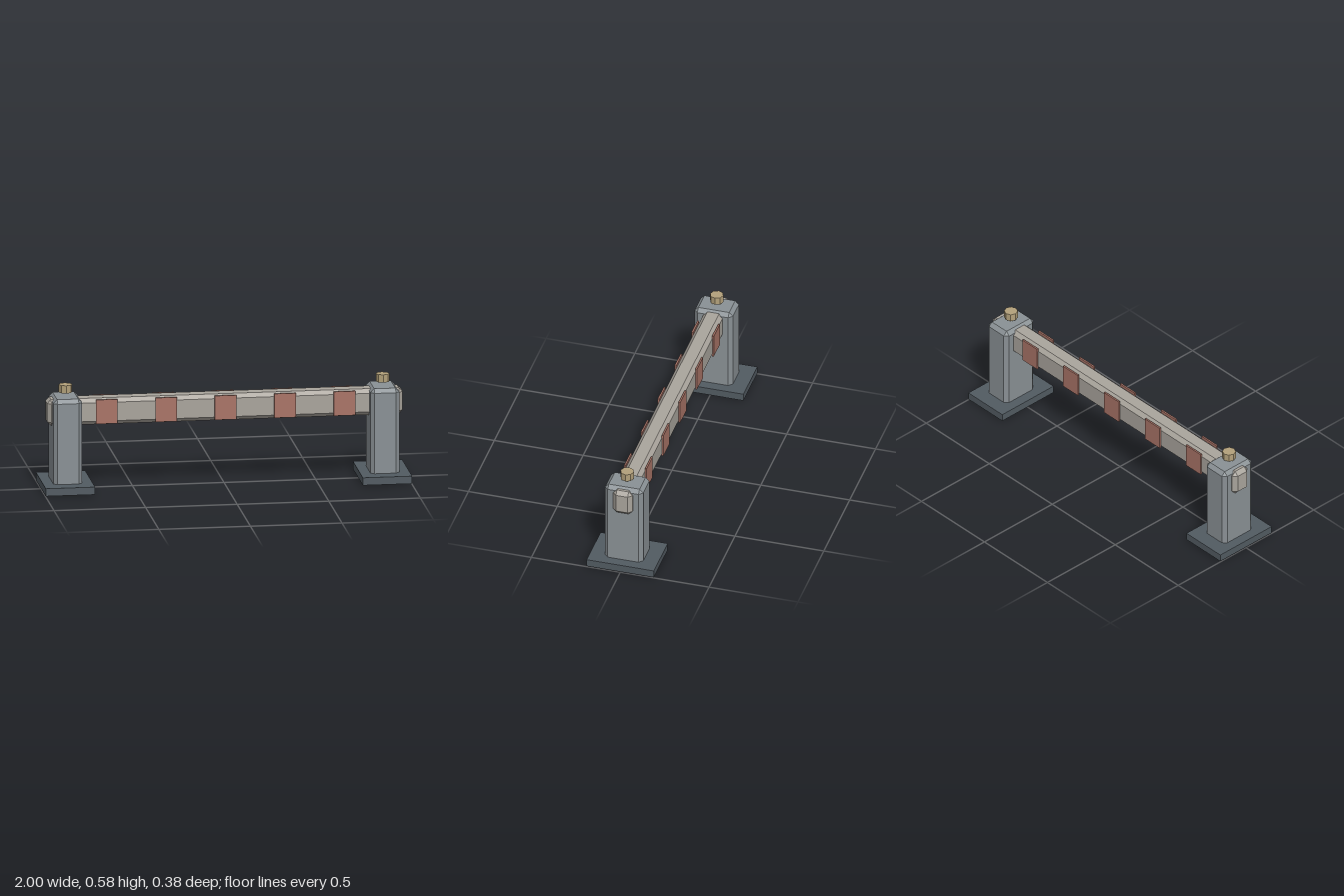
import * as THREE from 'three';
import { ConvexGeometry } from 'three/addons/geometries/ConvexGeometry.js';

const mat = (name, color) => {
  const m = new THREE.MeshStandardMaterial({ color });
  m.name = name;
  return m;
};

// Box with every edge and corner cut off by c
function chamferBox(w, h, d, c) {
  const half = [w / 2, h / 2, d / 2];
  const points = [];
  for (const sx of [-1, 1]) for (const sy of [-1, 1]) for (const sz of [-1, 1]) {
    for (let full = 0; full < 3; full++) {
      const p = half.map((v, i) => (i === full ? v : v - c));
      points.push(new THREE.Vector3(p[0] * sx, p[1] * sy, p[2] * sz));
    }
  }
  return new ConvexGeometry(points);
}

export function createModel() {
  const model = new THREE.Group();
  model.name = 'barrier';

  const steel = mat('post grey', 0x8a9195);
  const dark = mat('base dark grey', 0x525b62);
  const pale = mat('beam pale grey', 0xaaa59d);
  const red = mat('stripe red', 0xa97467);
  const brass = mat('cap brass', 0xb3a17b);

  const add = (name, geometry, material, x, y, z) => {
    const mesh = new THREE.Mesh(geometry, material);
    mesh.name = name;
    mesh.position.set(x, y, z);
    model.add(mesh);
  };

  // Posts with base plates and raised caps
  const postGeo = chamferBox(0.158, 0.514, 0.215, 0.021);
  const baseGeo = new THREE.BoxGeometry(0.269, 0.042, 0.378);
  const capGeo = new THREE.CylinderGeometry(0.037, 0.037, 0.043, 8).toNonIndexed();
  capGeo.computeVertexNormals();
  for (const [side, s] of [['left', 1], ['right', -1]]) {
    add(side + 'Post', postGeo, steel, s * 0.8655, 0.257, 0);
    add(side + 'Base', baseGeo, dark, s * 0.8655, 0.025, 0);
    add(side + 'Cap', capGeo, brass, s * 0.8655, 0.5555, 0);
  }

  // Beam running through both posts
  add('beam', chamferBox(1.942, 0.146, 0.109, 0.0215), pale, 0, 0.43, 0);

  // Stripe plates on the front and back of the beam
  const stripeGeo = new THREE.BoxGeometry(0.117, 0.134, 0.0095);
  for (let i = -2; i <= 2; i++) {
    add('frontStripe', stripeGeo, red, i * 0.3245, 0.432, 0.0585);
    add('backStripe', stripeGeo, red, i * 0.3245, 0.432, -0.0585);
  }
  return model;
}
